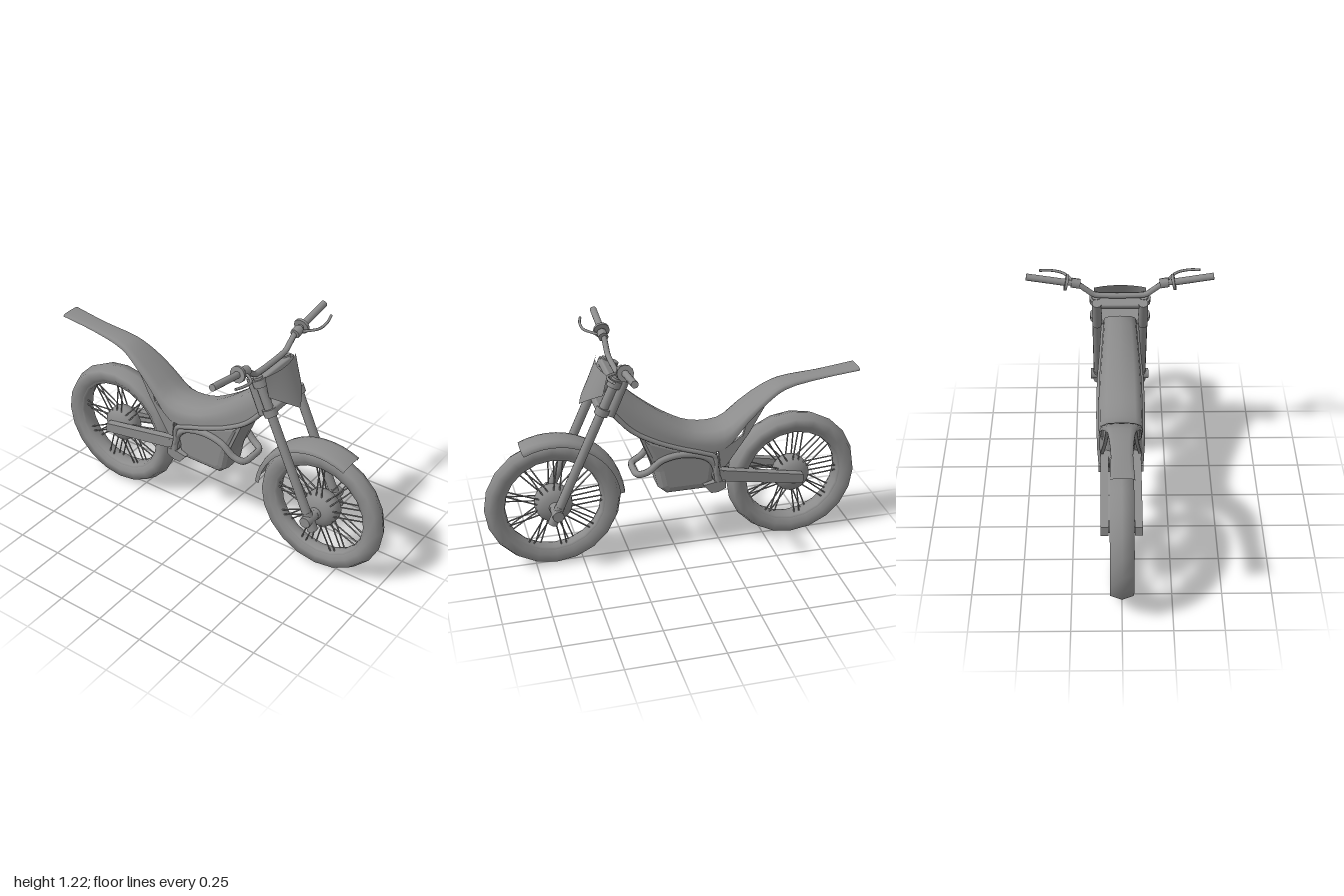
import * as THREE from 'three';
import { RoundedBoxGeometry } from 'three/addons/geometries/RoundedBoxGeometry.js';

const grey = new THREE.MeshStandardMaterial({ color: 0x8c8c8c, side: THREE.DoubleSide });
const V = (x, y, z) => new THREE.Vector3(x, y, z);
const rad = THREE.MathUtils.degToRad;

function add(parent, name, geometry) {
  const mesh = new THREE.Mesh(geometry, grey);
  mesh.name = name;
  parent.add(mesh);
  return mesh;
}

// Straight cylinder between two points
function rod(parent, name, a, b, r, sides = 10) {
  const dir = b.clone().sub(a);
  const mesh = add(parent, name, new THREE.CylinderGeometry(r, r, dir.length(), sides));
  mesh.position.copy(a).add(b).multiplyScalar(0.5);
  mesh.quaternion.setFromUnitVectors(V(0, 1, 0), dir.normalize());
  return mesh;
}

// Bent tube; points are [x, y, z]
function tube(parent, name, points, r, segments = 40) {
  const curve = new THREE.CatmullRomCurve3(points.map(p => V(...p)), false, 'centripetal');
  return add(parent, name, new THREE.TubeGeometry(curve, segments, r, 8));
}

// Ring profile [radius, sideways] turned about the x axis
function ring(parent, name, profile, sides, start = 0, sweep = 360) {
  const g = new THREE.LatheGeometry(profile.map(p => new THREE.Vector2(...p)), sides, rad(start), rad(sweep));
  return add(parent, name, g.rotateZ(Math.PI / 2));
}

// Side outline of [z, y] points, extruded between two x positions
function plate(parent, name, outline, xa, xb, bevel = 0, hole = null) {
  const shape = new THREE.Shape(outline.map(p => new THREE.Vector2(...p)));
  if (hole) shape.holes.push(new THREE.Path(hole.map(p => new THREE.Vector2(...p))));
  const g = new THREE.ExtrudeGeometry(shape, {
    depth: Math.abs(xb - xa) - 2 * bevel, bevelEnabled: bevel > 0, bevelSize: bevel,
    bevelThickness: bevel, bevelOffset: -bevel, bevelSegments: 3,
  });
  return add(parent, name, g.rotateY(-Math.PI / 2).translate(Math.max(xa, xb) - bevel, 0, 0));
}

// Open arched shell through sections [zTop, yTop, zBottom, yBottom, halfWidth]
function archShell(parent, name, sections) {
  const arch = [[-1, 0], [-1, 0.35], [-0.92, 0.68], [-0.65, 0.92], [0, 1], [0.65, 0.92], [0.92, 0.68], [1, 0.35], [1, 0]];
  const pos = [], index = [], n = arch.length;
  const tops = new THREE.CatmullRomCurve3(sections.map(s => V(s[0], s[1], s[4])));
  const bottoms = new THREE.CatmullRomCurve3(sections.map(s => V(s[2], s[3], 0)));
  const steps = (sections.length - 1) * 3;
  for (let i = 0; i <= steps; i++) {
    const t = tops.getPoint(i / steps), b = bottoms.getPoint(i / steps);
    for (const [u, v] of arch) pos.push(u * t.z, b.y + (t.y - b.y) * v, b.x + (t.x - b.x) * v);
    if (i === 0) continue;
    for (let j = 0; j < n - 1; j++) {
      const a = (i - 1) * n + j, c = i * n + j;
      index.push(a, a + 1, c, a + 1, c + 1, c);
    }
  }
  const g = new THREE.BufferGeometry();
  g.setAttribute('position', new THREE.Float32BufferAttribute(pos, 3));
  g.setIndex(index);
  g.computeVertexNormals();
  return add(parent, name, g);
}

function wheel(name, z, w) {
  const g = new THREE.Group();
  g.name = name;
  ring(g, 'tyre', [[0.27, -w * 0.7], [0.295, -w], [0.338, -w], [0.358, 0], [0.338, w], [0.295, w], [0.27, w * 0.7]], 20);
  ring(g, 'rim', [[0.275, -w * 0.7], [0.257, -w * 0.65], [0.25, 0], [0.257, w * 0.65], [0.275, w * 0.7]], 20);
  ring(g, 'hub', [[0.03, -0.06], [0.06, -0.055], [0.095, -0.035], [0.1, 0], [0.095, 0.035], [0.06, 0.055], [0.03, 0.06]], 20);
  rod(g, 'axle', V(-0.08, 0, 0), V(0.08, 0, 0), 0.032, 12);
  // Spokes leaning alternately forward and back in pairs
  for (let i = 0; i < 36; i++) {
    const a = rad(i * 10), b = a + rad(i % 4 < 2 ? 7 : -7), x = i % 2 ? 0.035 : -0.035;
    rod(g, 'spoke', V(x, 0.09 * Math.sin(a), 0.09 * Math.cos(a)),
      V(x * 0.4, 0.26 * Math.sin(b), 0.26 * Math.cos(b)), 0.004, 5);
  }
  g.position.set(0, 0.361, z);
  return g;
}

// Parts found on both sides; s is 1 for left, -1 for right
function sideParts(s) {
  const g = new THREE.Group();
  g.name = s > 0 ? 'leftSide' : 'rightSide';
  const fork = (x, y) => V(x, y, 0.645 - 0.45 * (y - 0.365));

  // Fork leg with collars, foot and the stanchion behind its top
  rod(g, 'forkLeg', fork(0.123 * s, 0.33), fork(0.123 * s, 1.085), 0.024, 12);
  rod(g, 'forkFoot', fork(0.123 * s, 0.305), fork(0.123 * s, 0.4), 0.027, 8);
  rod(g, 'lowerForkCollar', fork(0.123 * s, 0.895), fork(0.123 * s, 0.93), 0.036, 12);
  rod(g, 'upperForkCollar', fork(0.123 * s, 1.04), fork(0.123 * s, 1.075), 0.036, 12);
  rod(g, 'headStanchion', V(0.12 * s, 0.885, 0.36), V(0.12 * s, 1.065, 0.282), 0.026, 10);

  // Grip, collar, switch block and lever
  rod(g, 'grip', V(0.27 * s, 1.172, 0.312), V(0.48 * s, 1.207, 0.312), 0.018, 12);
  rod(g, 'gripCollar', V(0.268 * s, 1.172, 0.312), V(0.282 * s, 1.175, 0.312), 0.042, 12);
  rod(g, 'leverClamp', V(0.205 * s, 1.162, 0.316), V(0.25 * s, 1.17, 0.316), 0.026, 8);
  tube(g, 'lever', [[0.235 * s, 1.165, 0.325], [0.265 * s, 1.172, 0.37], [0.3 * s, 1.178, 0.402],
    [0.36 * s, 1.188, 0.408], [0.415 * s, 1.195, 0.395]], 0.007, 20);

  // Frame rail below the tank, dropping to the foot peg bracket
  tube(g, 'frameRail', [[0.085 * s, 0.9, 0.36], [0.098 * s, 0.77, 0.245], [0.108 * s, 0.7, 0.13], [0.112 * s, 0.645, 0],
    [0.112 * s, 0.6, -0.13], [0.11 * s, 0.57, -0.19], [0.108 * s, 0.48, -0.2], [0.1 * s, 0.41, -0.225]], 0.013);
  plate(g, 'footPegBracket', [[-0.13, 0.41], [-0.19, 0.42], [-0.25, 0.42], [-0.25, 0.38], [-0.21, 0.36], [-0.17, 0.36]], 0.06 * s, 0.115 * s);

  // Rear side panel with a window, tapering inward to the tail
  const panel = plate(g, 'sidePanel', [[-0.21, 0.6], [-0.28, 0.7], [-0.38, 0.775], [-0.475, 0.855], [-0.475, 0.825], [-0.38, 0.67], [-0.25, 0.5], [-0.22, 0.5]],
    0.09 * s, 0.108 * s, 0.003, [[-0.265, 0.62], [-0.3, 0.7], [-0.365, 0.745], [-0.345, 0.665]]);
  const p = panel.geometry.attributes.position;
  for (let i = 0; i < p.count; i++) p.setX(i, p.getX(i) + s * 0.14 * Math.min(0, p.getZ(i) + 0.23));

  // Square swingarm beam
  plate(g, 'swingarm', [[-0.2, 0.485], [-0.685, 0.392], [-0.685, 0.338], [-0.2, 0.42]], 0.064 * s, 0.103 * s);
  return g;
}

export function createModel() {
  const model = new THREE.Group();
  model.name = 'trialMotorcycle';
  model.add(wheel('frontWheel', 0.645, 0.042), wheel('rearWheel', -0.645, 0.058));
  model.add(sideParts(1), sideParts(-1));
  rod(model, 'frontAxle', V(-0.163, 0.363, 0.645), V(0.163, 0.363, 0.645), 0.03, 10);

  // Front mudguard
  const guard = ring(model, 'frontMudguard',
    [[0.345, -0.066], [0.368, -0.065], [0.374, -0.04], [0.376, 0], [0.374, 0.04], [0.368, 0.065], [0.345, 0.066]], 14, 65, 109);
  guard.position.set(0, 0.363, 0.645);

  // Fork bridges
  for (const [y, z] of [[0.915, 0.385], [1.058, 0.32]]) {
    const bridge = add(model, 'forkBridge', new RoundedBoxGeometry(0.25, 0.035, 0.09, 2, 0.01));
    bridge.position.set(0, y, z);
    bridge.rotation.x = -0.42;
  }

  // Number plate, bowed forward and pointed at the bottom
  const shield = new THREE.PlaneGeometry(0.27, 0.2, 12, 8);
  const p = shield.attributes.position;
  for (let i = 0; i < p.count; i++) {
    const u = p.getX(i) / 0.135, v = 0.5 - p.getY(i) / 0.2;
    const drop = v * (0.2 - 0.095 * Math.abs(u));
    p.setXYZ(i, p.getX(i), 1.105 - drop, 0.395 + 0.48 * drop - 0.05 * u * u * (0.5 + 0.5 * v));
  }
  shield.computeVertexNormals();
  add(model, 'numberPlate', shield);

  // Handlebar
  tube(model, 'handlebar', [[-0.3, 1.177, 0.312], [-0.22, 1.164, 0.312], [-0.18, 1.135, 0.312], [-0.135, 1.102, 0.312], [-0.1, 1.096, 0.312],
    [0.1, 1.096, 0.312], [0.135, 1.102, 0.312], [0.18, 1.135, 0.312], [0.22, 1.164, 0.312], [0.3, 1.177, 0.312]], 0.015, 60);

  // Tank, seat and tail in one sweeping shell
  archShell(model, 'tankSeatAndTail', [
    [0.28, 0.99, 0.36, 0.9, 0.085], [0.18, 0.895, 0.24, 0.775, 0.098], [0.03, 0.78, 0.1, 0.69, 0.11],
    [-0.1, 0.715, -0.07, 0.625, 0.113], [-0.25, 0.715, -0.23, 0.6, 0.112], [-0.37, 0.795, -0.365, 0.735, 0.102],
    [-0.47, 0.865, -0.47, 0.825, 0.086], [-0.57, 0.915, -0.575, 0.885, 0.066], [-0.78, 0.937, -0.78, 0.918, 0.051],
    [-0.985, 0.957, -0.985, 0.943, 0.057]]);

  // Engine with rounded belly, and the radiator under the tank
  plate(model, 'engine', [[0.2, 0.72], [0.12, 0.5], [0.1, 0.4], [0.06, 0.365], [-0.16, 0.365], [-0.2, 0.41], [-0.22, 0.58], [0, 0.66]],
    -0.092, 0.092, 0.045);
  plate(model, 'radiator', [[0.33, 0.885], [0.225, 0.775], [0.125, 0.53], [0.06, 0.53], [0.08, 0.68], [0.24, 0.84]], -0.085, 0.085);

  // Looped cradle tube around the front of the engine
  const cradle = [[0.1, 0.42, -0.21], [0.1, 0.52, -0.19], [0.1, 0.57, -0.14], [0.1, 0.6, -0.02], [0.098, 0.58, 0.09], [0.09, 0.52, 0.16], [0.07, 0.5, 0.21]];
  tube(model, 'cradleTube', [...cradle, [0, 0.5, 0.22], ...cradle.slice().reverse().map(([x, y, z]) => [-x, y, z])], 0.018, 70);

  // Silencer on the right, under the tail, and the swingarm pivot
  plate(model, 'silencer', [[-0.25, 0.56], [-0.28, 0.66], [-0.38, 0.76], [-0.455, 0.85], [-0.475, 0.83], [-0.37, 0.66], [-0.29, 0.56]], -0.07, -0.02, 0.01);
  rod(model, 'swingarmPivot', V(-0.105, 0.45, -0.215), V(0.105, 0.45, -0.215), 0.036, 12);
  return model;
}
